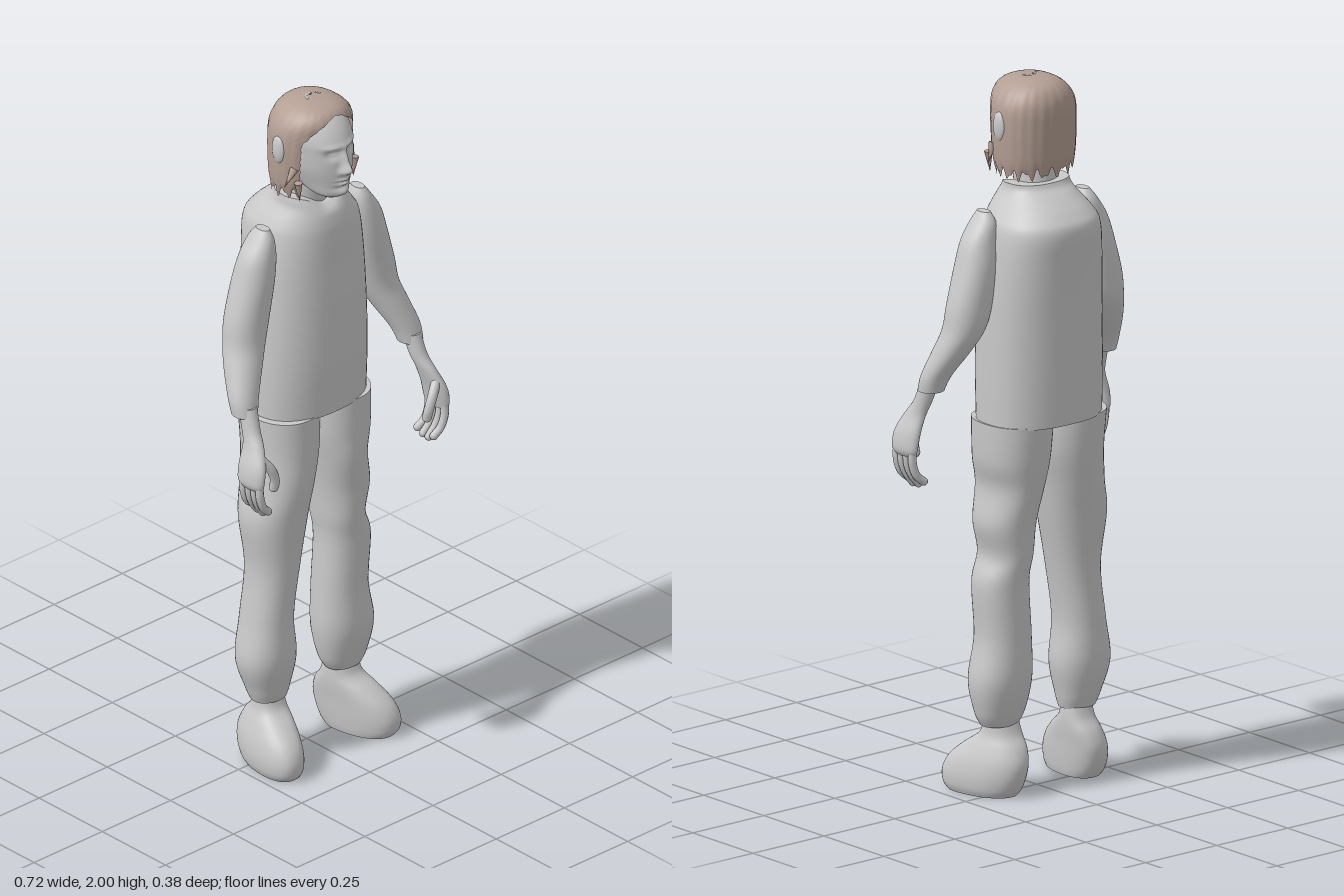
import * as THREE from 'three';

const cloth = new THREE.MeshStandardMaterial({ color: 0xc8c8c8, side: THREE.DoubleSide });
cloth.name = 'pale grey';
const brown = new THREE.MeshStandardMaterial({ color: 0xb39e93, side: THREE.DoubleSide });
brown.name = 'hair brown';

// Smooth interpolation through rows of numbers
function sample(rows, t) {
  const n = rows.length - 1, f = Math.min(t * n, n - 1e-6), i = Math.floor(f), u = f - i;
  const at = k => rows[Math.max(0, Math.min(n, k))];
  return rows[0].map((_, c) => {
    const a = at(i - 1)[c], b = at(i)[c], d = at(i + 1)[c], e = at(i + 2)[c];
    return b + 0.5 * u * (d - a + u * (2 * a - 5 * b + 4 * d - e + u * (3 * (b - d) + e - a)));
  });
}

// Loft through horizontal rounded sections [y, centre x, centre z, radius x, radius z], bottom to top
function loft(rows, { power = 1, rings = 40, segs = 40, rule, open, caps = true } = {}) {
  const pos = [], idx = [], p = new THREE.Vector3();
  const cols = open ? segs + 1 : segs;
  const bend = v => Math.sign(v) * Math.abs(v) ** power;
  for (let i = 0; i <= rings; i++) {
    const [y, cx, cz, rx, rz] = sample(rows, i / rings);
    const gap = open ? open(y) : 0;
    for (let j = 0; j < cols; j++) {
      const a = gap + (j / segs) * (2 * Math.PI - 2 * gap);
      p.set(cx + Math.max(rx, 0.001) * bend(Math.sin(a)), y, cz + Math.max(rz, 0.001) * bend(Math.cos(a)));
      if (rule) rule(p, a, i / rings);
      pos.push(p.x, p.y, p.z);
    }
  }
  for (let i = 0; i < rings; i++) for (let j = 0; j < segs; j++) {
    const k = open ? j + 1 : (j + 1) % segs;
    const a = i * cols + j, b = i * cols + k;
    idx.push(a, b, b + cols, a, b + cols, a + cols);
  }
  // flat caps with their own corners
  if (caps) for (const [ring, up] of [[0, false], [rings, true]]) {
    const start = pos.length / 3, mid = [0, 0, 0];
    for (let j = 0; j < segs; j++) for (let c = 0; c < 3; c++) {
      const v = pos[(ring * cols + j) * 3 + c];
      pos.push(v);
      mid[c] += v / segs;
    }
    pos.push(...mid);
    for (let j = 0; j < segs; j++) {
      const a = start + j, b = start + (j + 1) % segs;
      idx.push(...(up ? [a, b, start + segs] : [b, a, start + segs]));
    }
  }
  const g = new THREE.BufferGeometry();
  g.setAttribute('position', new THREE.Float32BufferAttribute(pos, 3));
  g.setIndex(idx);
  g.computeVertexNormals();
  return g;
}

// Section from its extents: y, x low, x high, z back, z front
const box = ([y, x0, x1, z0, z1]) => [y, (x0 + x1) / 2, (z0 + z1) / 2, (x1 - x0) / 2, (z1 - z0) / 2];
const bump = (x, y, sx, sy) => Math.exp(-((x / sx) ** 2) - (y / sy) ** 2);

export function createModel() {
  const model = new THREE.Group();
  model.name = 'standingPerson';
  const add = (name, geo, mat = cloth, parent = model) => {
    const m = new THREE.Mesh(geo, mat);
    m.name = name;
    parent.add(m);
    return m;
  };

  // Shirt with a dipped collar
  add('shirt', loft([
    [1.055, -0.165, 0.195, -0.16, 0.105], [1.2, -0.165, 0.195, -0.165, 0.112],
    [1.35, -0.16, 0.193, -0.17, 0.11], [1.5, -0.15, 0.187, -0.18, 0.104],
    [1.6, -0.135, 0.175, -0.188, 0.1], [1.64, -0.118, 0.152, -0.165, 0.094],
    [1.68, -0.092, 0.118, -0.118, 0.082], [1.7, -0.086, 0.106, -0.09, 0.072], [1.715, -0.084, 0.104, -0.08, 0.062],
  ].map(box), { power: 0.84, segs: 56, rule: (p, a) => {
    if (p.y > 1.66 && p.z > 0) p.y -= 0.6 * (p.y - 1.66) * bump(p.x - 0.01, 0, 0.05, 1);
  } }));

  // Trouser legs
  const legs = {
    rightTrouserLeg: [
      [0.2, -0.2, -0.095, -0.035, 0.05], [0.24, -0.215, -0.085, -0.05, 0.062], [0.33, -0.24, -0.07, -0.07, 0.08],
      [0.45, -0.22, -0.08, -0.07, 0.076], [0.6, -0.203, -0.06, -0.07, 0.08], [0.75, -0.217, -0.03, -0.09, 0.09],
      [0.85, -0.197, -0.012, -0.108, 0.1], [0.95, -0.183, 0.008, -0.125, 0.1], [1.06, -0.183, 0.014, -0.14, 0.1]],
    leftTrouserLeg: [
      [0.2, 0.07, 0.18, -0.035, 0.05], [0.24, 0.05, 0.2, -0.05, 0.062], [0.33, 0.035, 0.215, -0.07, 0.08],
      [0.45, 0.04, 0.195, -0.07, 0.076], [0.6, 0.048, 0.2, -0.07, 0.08], [0.68, 0.042, 0.175, -0.08, 0.085],
      [0.77, 0.035, 0.192, -0.09, 0.09], [0.87, 0.02, 0.178, -0.11, 0.1], [0.95, 0.006, 0.195, -0.125, 0.1],
      [1.06, 0.004, 0.2, -0.14, 0.1]],
  };
  for (const [name, rows] of Object.entries(legs)) add(name, loft(rows.map(box), { power: 0.9, rings: 60 }));

  // Shoes, toes turned a little outwards
  for (const [name, s, dx] of [['rightShoe', -1, 0], ['leftShoe', 1, -0.02]]) {
    add(name, loft([
      [0.005, 0.112, 0.222, -0.05, 0.145], [0.025, 0.108, 0.23, -0.066, 0.158], [0.06, 0.105, 0.232, -0.08, 0.16],
      [0.1, 0.103, 0.225, -0.084, 0.142], [0.14, 0.1, 0.21, -0.07, 0.1], [0.175, 0.1, 0.195, -0.045, 0.055],
      [0.22, 0.105, 0.19, -0.03, 0.04],
    ].map(box).map(r => [r[0], s * (r[1] + dx), ...r.slice(2)]), {
      power: 0.85, rings: 30, rule: p => { p.x += s * (s > 0 ? 0.22 : 0.1) * (p.z - 0.03); },
    }));
  }

  // Arms and hands, mirrored with a slight sideways shift
  for (const [side, s] of [['right', -1], ['left', 1]]) {
    const arm = new THREE.Group();
    arm.name = side + 'Arm';
    model.add(arm);
    const mx = x => s * x + 0.006;
    const mirrored = rows => rows.map(box).map(r => [r[0], mx(r[1]), ...r.slice(2)]);
    add(side + 'Sleeve', loft(mirrored([
      [1.155, 0.268, 0.338, 0.04, 0.11], [1.2, 0.252, 0.338, 0.022, 0.1], [1.27, 0.215, 0.32, -0.02, 0.08],
      [1.33, 0.185, 0.303, -0.046, 0.064], [1.4, 0.165, 0.292, -0.054, 0.06], [1.5, 0.148, 0.264, -0.054, 0.06],
      [1.57, 0.142, 0.242, -0.045, 0.055], [1.62, 0.148, 0.21, -0.035, 0.045], [1.65, 0.16, 0.188, -0.015, 0.03],
    ]), { power: 0.92, rings: 50 }), cloth, arm);
    add(side + 'Hand', loft(mirrored([
      [0.965, 0.325, 0.35, 0.1, 0.18], [0.985, 0.32, 0.36, 0.092, 0.188], [1.03, 0.31, 0.355, 0.09, 0.185],
      [1.08, 0.295, 0.337, 0.088, 0.16], [1.12, 0.284, 0.329, 0.075, 0.132], [1.18, 0.275, 0.325, 0.055, 0.11],
    ]), { rings: 24, segs: 24 }), cloth, arm);
    // fingers curl inwards
    const finger = (name, r, pts) => {
      const v = pts.map(q => new THREE.Vector3(mx(q[0]), q[1], q[2]));
      add(name, new THREE.TubeGeometry(new THREE.CatmullRomCurve3(v), 12, r, 10), cloth, arm);
      const tip = add(name + 'Tip', new THREE.SphereGeometry(r, 10, 8), cloth, arm);
      tip.position.copy(v[v.length - 1]);
    };
    [0.108, 0.13, 0.152, 0.172].forEach((z, i) => {
      const low = [0.892, 0.882, 0.88, 0.89][i];
      finger(side + 'Finger', 0.0115, [[0.34, 0.99, z], [0.338, 0.945, z + 0.002], [0.325, 0.91, z], [0.304, low, z - 0.004]]);
    });
    finger(side + 'Thumb', 0.0135, [[0.32, 1.05, 0.16], [0.295, 1.015, 0.172], [0.282, 0.98, 0.172], [0.281, 0.955, 0.166]]);
  }

  // Neck
  add('neck', loft([
    [1.64, 0.005, -0.01, 0.066, 0.06], [1.7, 0.005, 0, 0.06, 0.056], [1.8, 0.003, 0.015, 0.058, 0.06],
  ], { rings: 12 }));

  // Head, with the face pressed out by a rule
  const face = p => {
    if (p.z < 0.05) return;
    const x = Math.abs(p.x - 0.003), y = p.y;
    let d = 0;
    d += 0.024 * bump(x, y - 1.826, 0.012, 0.017) + 0.013 * bump(x, y - 1.855, 0.009, 0.03);
    d += 0.009 * bump(x - 0.014, y - 1.819, 0.008, 0.009);
    d -= 0.014 * bump(x - 0.031, y - 1.872, 0.017, 0.012);
    d += 0.006 * bump(x - 0.03, y - 1.871, 0.012, 0.006);
    d += 0.006 * bump(x - 0.03, y - 1.893, 0.03, 0.008);
    d += 0.009 * bump(x, y - 1.793, 0.02, 0.005) + 0.009 * bump(x, y - 1.78, 0.018, 0.005);
    d -= 0.004 * bump(x, y - 1.7865, 0.024, 0.003);
    d += 0.008 * bump(x, y - 1.752, 0.022, 0.012) - 0.004 * bump(x, y - 1.768, 0.025, 0.006);
    p.z += d;
  };
  add('head', loft([
    [1.732, -0.03, 0.034, 0.06, 0.125], [1.745, -0.048, 0.053, 0.01, 0.14], [1.775, -0.064, 0.07, -0.05, 0.145],
    [1.82, -0.08, 0.085, -0.07, 0.148], [1.87, -0.087, 0.092, -0.078, 0.146], [1.91, -0.09, 0.094, -0.08, 0.137],
    [1.95, -0.08, 0.084, -0.07, 0.108], [1.975, -0.055, 0.06, -0.045, 0.07], [1.985, -0.01, 0.015, 0, 0.02],
  ].map(box), { rings: 90, segs: 120, rule: face }));

  // Hair shell, open at the face, with ragged edges
  add('hair', loft([
    [1.742, -0.108, 0.114, -0.078, 0.085], [1.78, -0.116, 0.122, -0.085, 0.1], [1.86, -0.119, 0.125, -0.089, 0.108],
    [1.92, -0.115, 0.121, -0.09, 0.113], [1.955, -0.1, 0.106, -0.083, 0.117], [1.98, -0.074, 0.08, -0.065, 0.103],
    [1.994, -0.042, 0.048, -0.034, 0.068], [2.0, -0.002, 0.006, 0.01, 0.014],
  ].map(box), {
    rings: 60, segs: 90, caps: false, power: 0.92,
    open: y => y > 1.972 ? 0 : 0.87 * Math.min(1, ((1.972 - y) / 0.07) ** 0.6) + 0.025 * Math.sin(y * 330),
    rule: (p, a, t) => {
      p.y += (1 - t) ** 12 * (0.012 * Math.sin(a * 17) + 0.008 * Math.sin(a * 29));
      const k = 1 + 0.008 * Math.sin(a * 23) * Math.sin(Math.PI * t);
      p.x *= k;
      p.z = 0.01 + (p.z - 0.01) * k;
    },
  }), brown);

  // Loose locks beside the cheeks
  for (const [x, y, z, tilt] of [[-0.12, 1.805, 0.06, -0.7], [-0.098, 1.76, 0.075, 0.1], [0.108, 1.76, 0.07, -0.1], [0.12, 1.79, 0.05, 0.3]]) {
    const lock = add('hairLock', new THREE.ConeGeometry(0.012, 0.06, 8), brown);
    lock.position.set(x, y, z);
    lock.rotation.z = Math.PI + tilt;
  }

  // Ears showing through the hair
  for (const [name, x] of [['rightEar', -0.113], ['leftEar', 0.119]]) {
    const ear = add(name, new THREE.SphereGeometry(1, 20, 14));
    ear.scale.set(0.014, 0.042, 0.024);
    ear.position.set(x, 1.873, 0.012);
  }

  // Small bare arc on the crown
  const crown = add('crownArc', new THREE.TorusGeometry(0.022, 0.004, 6, 20, Math.PI));
  crown.rotation.x = -Math.PI / 2;
  crown.position.set(0.004, 1.996, 0.025);
  return model;
}
